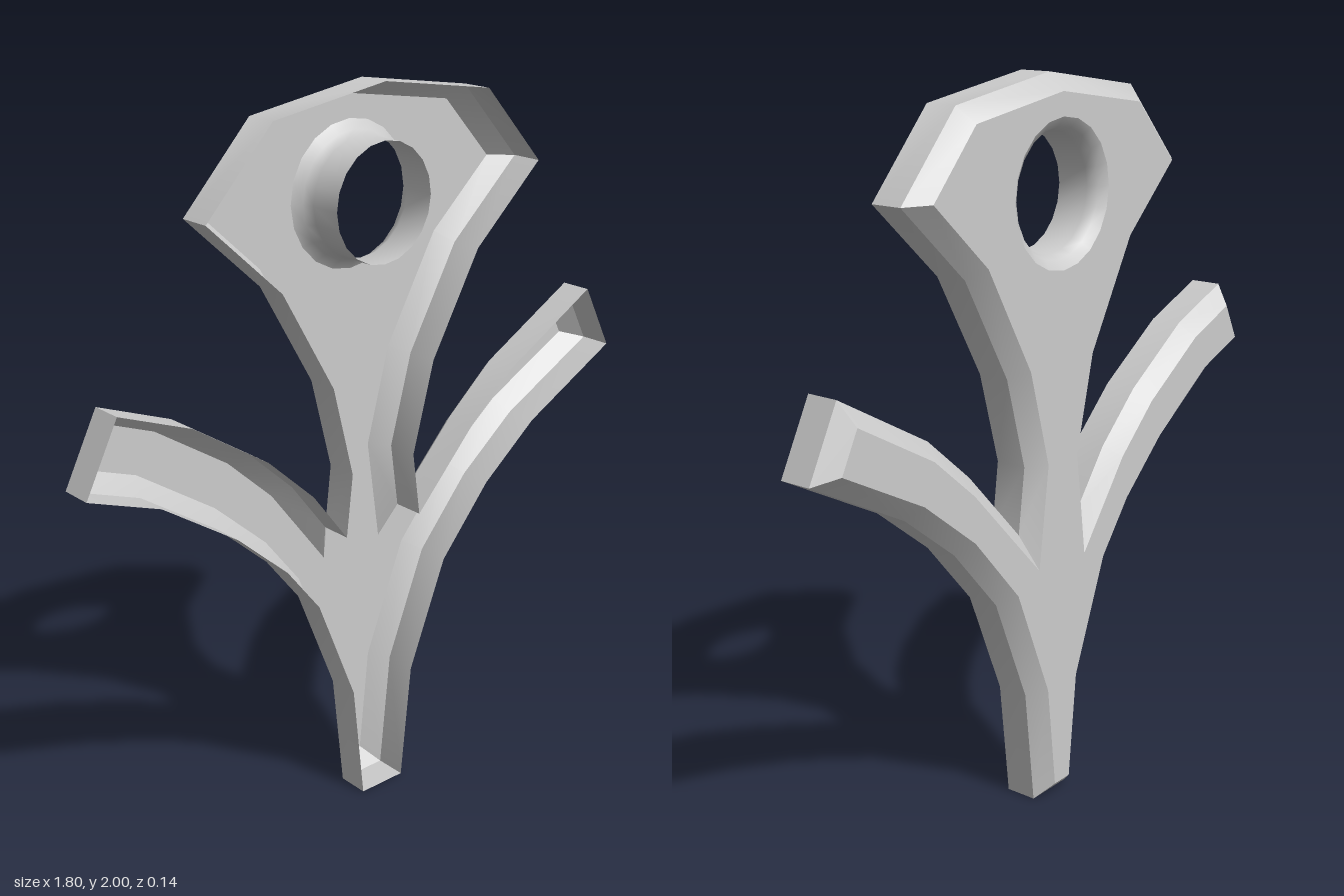
import * as THREE from 'three';
import { toCreasedNormals } from 'three/addons/utils/BufferGeometryUtils.js';

// Outline of the stem with two side branches and a fan-shaped head, counter-clockwise
const OUTLINE = [
  [-0.055, 0], [0.09, 0], [0.125, 0.333], [0.247, 0.64], [0.41, 0.83], [0.59, 0.974],
  [0.9, 1.14], [0.803, 1.325], [0.5, 1.153], [0.347, 1.02], [0.15, 0.808], [0.125, 0.99],
  [0.194, 1.243], [0.352, 1.524], [0.575, 1.73], [0.377, 1.945], [0.018, 2], [-0.335, 1.945],
  [-0.537, 1.73], [-0.315, 1.524], [-0.155, 1.243], [-0.092, 0.99], [-0.113, 0.815],
  [-0.225, 0.963], [-0.37, 1.098], [-0.595, 1.245], [-0.805, 1.327], [-0.9, 1.14],
  [-0.695, 1.065], [-0.47, 0.915], [-0.315, 0.775], [-0.21, 0.64], [-0.09, 0.335],
].map(([x, y]) => new THREE.Vector2(x, y));

// Depths of the open front, the start of the chamfer, and the back face
const BEVEL = 0.045, FRONT = 0.0675, CHAMFER = -0.0225, BACK = -0.0675;

// Moves every edge inwards by d, with full mitres
function inset(points, d) {
  const n = points.length;
  return points.map((p, i) => {
    const a = p.clone().sub(points[(i + n - 1) % n]).normalize();
    const b = points[(i + 1) % n].clone().sub(p).normalize();
    const na = new THREE.Vector2(-a.y, a.x), nb = new THREE.Vector2(-b.y, b.x);
    const m = na.clone().add(nb);
    return p.clone().addScaledVector(m, d / (1 + na.dot(nb)));
  });
}

// Clockwise ring for the eyelet
function circle(r, n = 20) {
  return Array.from({ length: n }, (_, i) => {
    const t = -i / n * Math.PI * 2;
    return new THREE.Vector2(0.017 + r * Math.cos(t), 1.697 + r * Math.sin(t));
  });
}

// Joins successive [points, z] rings with quads
function band(rings) {
  const out = [];
  for (let k = 0; k + 1 < rings.length; k++) {
    const [A, za] = rings[k], [B, zb] = rings[k + 1], n = A.length;
    for (let i = 0; i < n; i++) {
      const j = (i + 1) % n;
      const a = [A[i].x, A[i].y, za], b = [B[i].x, B[i].y, zb];
      const c = [B[j].x, B[j].y, zb], d = [A[j].x, A[j].y, za];
      out.push(...a, ...b, ...c, ...a, ...c, ...d);
    }
  }
  return out;
}

// Flat face looking backwards, with the eyelet cut out
function backFace(contour, hole) {
  const out = [], all = [...contour, ...hole];
  for (const [a, b, c] of THREE.ShapeUtils.triangulateShape(contour.slice(), [hole.slice()])) {
    for (const i of [a, c, b]) out.push(all[i].x, all[i].y, BACK);
  }
  return out;
}

export function createModel() {
  const group = new THREE.Group();
  group.name = 'plantOrnament';
  const material = new THREE.MeshStandardMaterial({ color: 0xcccccc, side: THREE.DoubleSide });

  const add = (name, positions) => {
    const geometry = new THREE.BufferGeometry();
    geometry.setAttribute('position', new THREE.Float32BufferAttribute(positions, 3));
    const mesh = new THREE.Mesh(toCreasedNormals(geometry, 0.72), material);
    mesh.name = name;
    group.add(mesh);
  };

  const rim = inset(OUTLINE, BEVEL);
  const eye = circle(0.158), eyeMid = circle(0.17), eyeBase = circle(0.195);

  // Thin shell, open at the front: back plate, then its edge wall with a chamfer
  add('backPlate', backFace(rim, eyeBase));
  add('edgeWall', band([[OUTLINE, FRONT], [OUTLINE, CHAMFER], [rim, BACK]]));

  // Tube around the hole, with a rounded mouth at the back
  add('eyelet', band([[eye, FRONT], [eye, CHAMFER], [eyeMid, -0.05], [eyeBase, BACK]]));

  return group;
}
